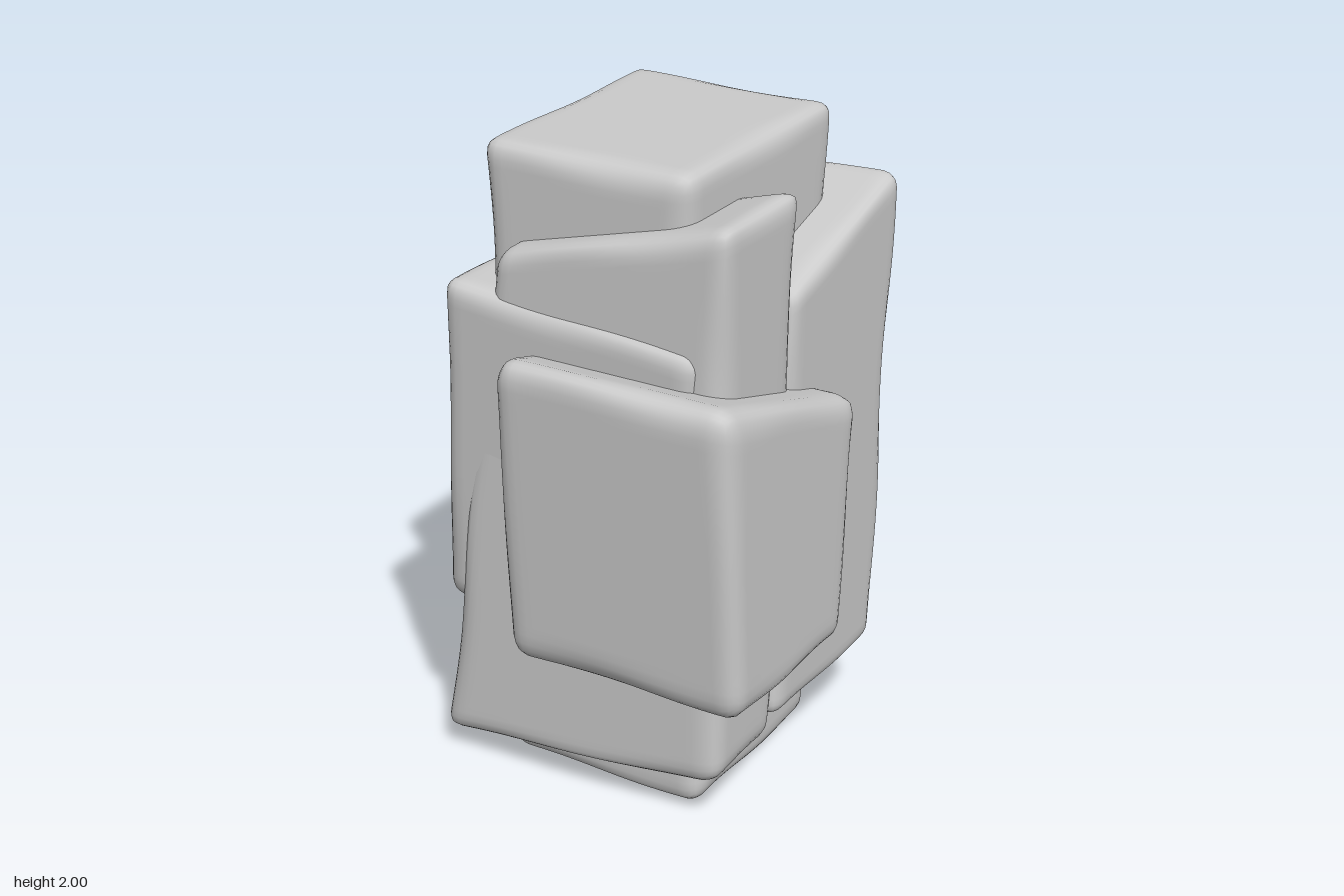
import * as THREE from 'three';
import { mergeVertices } from 'three/addons/utils/BufferGeometryUtils.js';

const material = new THREE.MeshStandardMaterial({ color: 0xcccccc });
const lerp = THREE.MathUtils.lerp;

// Worn stone block: a box with rounded, uneven edges, warped into a skewed hexahedron.
// bottom / top: [xMin, xMax, zMin, zMax]
// yBottom / yTop: heights at [left-back, right-back, left-front, right-front] (left = -x)
function block({ name, bottom, top, yBottom, yTop }, seed) {
  const size = new THREE.Vector3(
    (bottom[1] - bottom[0] + top[1] - top[0]) / 2,
    yTop[0] - yBottom[0],
    (bottom[3] - bottom[2] + top[3] - top[2]) / 2,
  );
  const half = size.clone().multiplyScalar(0.5);
  const segments = (s) => Math.max(8, Math.round(s / 0.025));
  let geo = new THREE.BoxGeometry(size.x, size.y, size.z, segments(size.x), segments(size.y), segments(size.z));
  geo.deleteAttribute('normal');
  geo.deleteAttribute('uv');
  geo = mergeVertices(geo, 1e-4);

  const pos = geo.attributes.position;
  const p = new THREE.Vector3();
  const inner = new THREE.Vector3();
  const limit = new THREE.Vector3();
  const bilinear = (q, u, w) => lerp(lerp(q[0], q[1], u), lerp(q[2], q[3], u), w);

  for (let i = 0; i < pos.count; i++) {
    p.fromBufferAttribute(pos, i);
    // edge rounding whose width wanders along the block
    const r = 0.058
      + 0.012 * Math.sin(p.x * 9 + p.y * 5 + seed * 2.1)
      + 0.010 * Math.sin(p.z * 11 - p.y * 8 + seed * 3.7);
    limit.copy(half).subScalar(r);
    inner.copy(p).clamp(limit.clone().negate(), limit);
    p.sub(inner).setLength(r).add(inner);

    // warp the box to its skewed corners
    const u = p.x / size.x + 0.5;
    const v = p.y / size.y + 0.5;
    const w = p.z / size.z + 0.5;
    pos.setXYZ(
      i,
      lerp(lerp(bottom[0], bottom[1], u), lerp(top[0], top[1], u), v),
      lerp(bilinear(yBottom, u, w), bilinear(yTop, u, w), v),
      lerp(lerp(bottom[2], bottom[3], w), lerp(top[2], top[3], w), v),
    );
  }
  geo.computeVertexNormals();
  const mesh = new THREE.Mesh(geo, material);
  mesh.name = name;
  return mesh;
}

const blocks = [
  { // full-height pillar in the middle
    name: 'coreStone',
    bottom: [-0.39, 0.29, -0.32, 0.36], top: [-0.385, 0.29, -0.4, 0.43],
    yBottom: [0, 0, 0, 0], yTop: [2, 2, 2, 2],
  },
  { // short block on the front right
    name: 'frontStone',
    bottom: [-0.215, 0.56, -0.02, 0.605], top: [-0.215, 0.56, -0.105, 0.675],
    yBottom: [0.49, 0.49, 0.49, 0.49], yTop: [1.24, 1.24, 1.48, 1.48],
  },
  { // wide slab flaring out at its lower left
    name: 'sideStone',
    bottom: [-0.55, 0.3, -0.42, 0.455], top: [-0.465, 0.37, -0.505, 0.525],
    yBottom: [0.53, 0.5, 0.53, 0.5], yTop: [1.6, 1.53, 1.6, 1.53],
  },
  { // tall slab between the core and the front stone
    name: 'tallStone',
    bottom: [-0.57, 0.41, 0.12, 0.47], top: [-0.3, 0.455, 0.08, 0.505],
    yBottom: [0.07, 0.165, 0.07, 0.165], yTop: [1.71, 1.91, 1.71, 1.91],
  },
  { // large block at the back right, top sloping up to the back
    name: 'backStone',
    bottom: [-0.2, 0.435, -0.47, 0.16], top: [-0.215, 0.44, -0.555, 0.1],
    yBottom: [0.24, 0.24, 0.24, 0.24], yTop: [1.78, 1.78, 1.59, 1.59],
  },
  { // small slab stuck to the back
    name: 'backSlab',
    bottom: [-0.31, 0.36, -0.605, -0.3], top: [-0.31, 0.36, -0.685, -0.38],
    yBottom: [0.82, 0.82, 0.82, 0.82], yTop: [1.31, 1.31, 1.36, 1.36],
  },
];

export function createModel() {
  const group = new THREE.Group();
  group.name = 'stonePillar';
  blocks.forEach((spec, i) => group.add(block(spec, i + 1)));
  return group;
}
